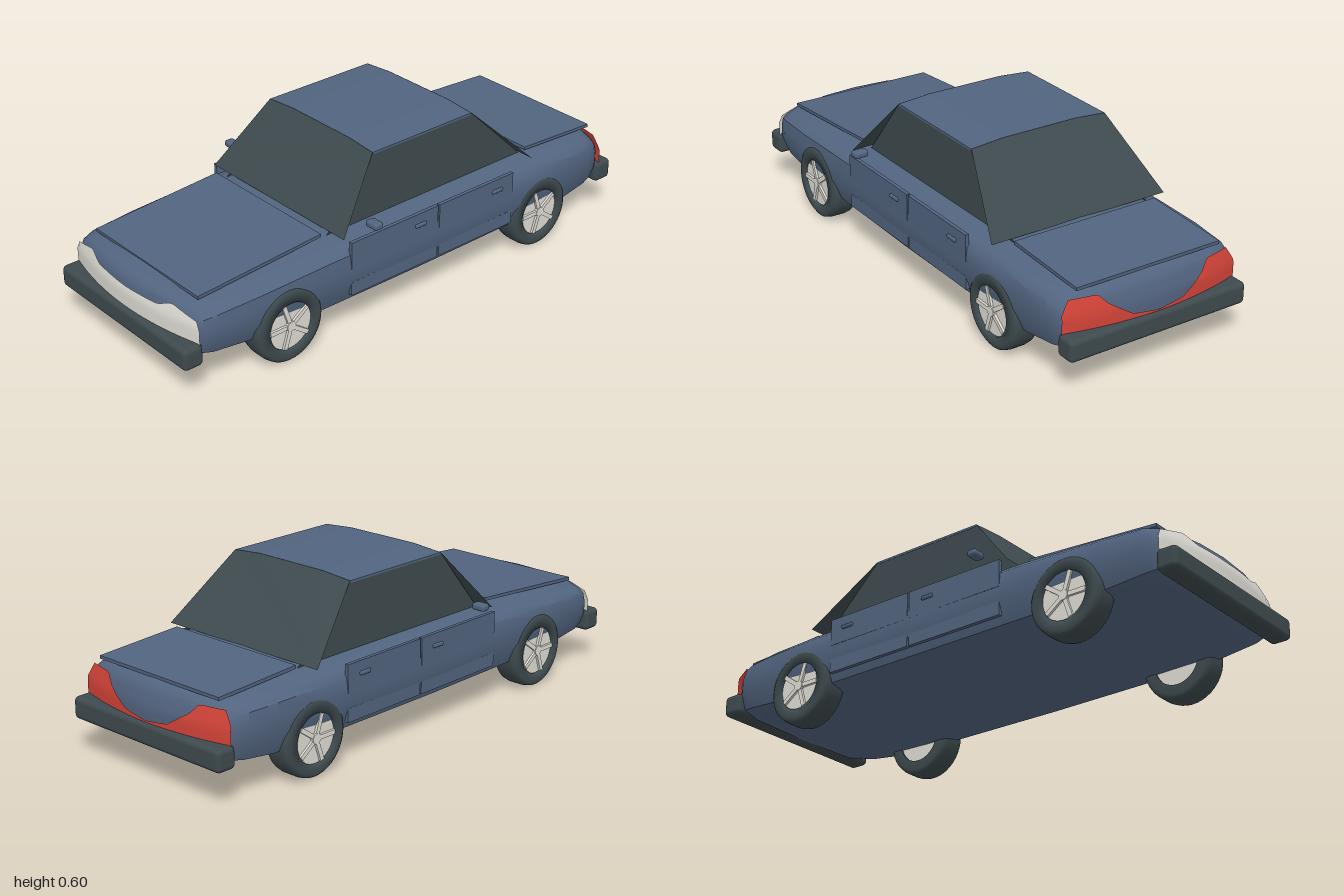
import * as THREE from 'three';
import { toCreasedNormals } from 'three/addons/utils/BufferGeometryUtils.js';
import { RoundedBoxGeometry } from 'three/addons/geometries/RoundedBoxGeometry.js';

const mat = (name, color, side = THREE.FrontSide) => {
  const m = new THREE.MeshStandardMaterial({ color, side });
  m.name = name;
  return m;
};

// Both ends of the body are bowed across and lean back near the top
function bow(x, y, z) {
  const s = THREE.MathUtils.clamp((Math.abs(z) - 0.8) / 0.17, 0, 1);
  return z - Math.sign(z) * s * (0.4 * x * x + 0.3 * Math.max(0, y - 0.26));
}

// Lofted shell: z, half width, bottom, top
function bodyGeometry() {
  const stations = [
    [0.975, 0.33, 0.15, 0.305], [0.96, 0.346, 0.14, 0.318], [0.9, 0.36, 0.13, 0.331],
    [0.7, 0.37, 0.112, 0.344], [0.4, 0.376, 0.107, 0.358], [0, 0.378, 0.105, 0.36],
    [-0.55, 0.376, 0.107, 0.362], [-0.75, 0.371, 0.112, 0.358], [-0.9, 0.36, 0.126, 0.35],
    [-0.96, 0.346, 0.135, 0.34], [-0.98, 0.33, 0.145, 0.322],
  ];
  const half = [[0, 0], [0.72, 0], [0.93, 0.06], [1, 0.35], [1, 0.6],
    [0.985, 0.78], [0.92, 0.87], [0.75, 0.95], [0.4, 0.99], [0, 1]];
  const loop = [...half, ...half.slice(1, -1).reverse().map(([u, v]) => [-u, v])];
  // Shrinking rings close each end
  const shrink = ([z, w, b, t], k) => {
    const c = (b + t) / 2, h = (t - b) / 2;
    return [z, w * k, c - h * k, c + h * k];
  };
  const ks = [0.001, 0.25, 0.5, 0.75];
  const rings = [...ks.map((k) => shrink(stations[0], k)), ...stations,
    ...ks.slice().reverse().map((k) => shrink(stations.at(-1), k))];
  const pos = [], idx = [], n = loop.length;
  rings.forEach(([z, w, b, t], r) => {
    loop.forEach(([u, v], i) => {
      const x = u * w, y = b + v * (t - b);
      pos.push(x, y, bow(x, y, z));
      if (r === 0) return;
      const j = (i + 1) % n, p = (r - 1) * n, q = r * n;
      idx.push(p + i, q + i, p + j, p + j, q + i, q + j);
    });
  });
  const g = new THREE.BufferGeometry();
  g.setAttribute('position', new THREE.Float32BufferAttribute(pos, 3));
  g.setIndex(idx);
  // Loop runs counterclockwise from the front, so faces already point outwards
  return toCreasedNormals(g, 0.7);
}

// Lamp strip hugging the bowed end; outline gives [x, top height]
function lampGeometry(outline, z, bottom) {
  const topAt = (x) => {
    const a = Math.abs(x);
    for (let i = 1; i < outline.length; i++) {
      const [x0, y0] = outline[i - 1], [x1, y1] = outline[i];
      if (a <= x1) return y0 + (y1 - y0) * (a - x0) / (x1 - x0);
    }
    return outline.at(-1)[1];
  };
  const g = new THREE.PlaneGeometry(0.696, 1, 48, 6);
  const p = g.attributes.position;
  for (let i = 0; i < p.count; i++) {
    const x = p.getX(i), y = bottom + (p.getY(i) + 0.5) * (topAt(x) - bottom);
    p.setXYZ(i, x, y, bow(x, y, z) + Math.sign(z) * 0.007);
  }
  g.computeVertexNormals();
  return g;
}

// Flat polygon from a fan of corners
function panelGeometry(c) {
  const pos = [];
  for (let i = 1; i < c.length - 1; i++) pos.push(...c[0], ...c[i], ...c[i + 1]);
  const g = new THREE.BufferGeometry();
  g.setAttribute('position', new THREE.Float32BufferAttribute(pos, 3));
  g.computeVertexNormals();
  return g;
}

export function createModel() {
  const paint = mat('blue paint', 0x52647f);
  const dark = mat('dark glass and rubber', 0x3e4a4e, THREE.DoubleSide);
  const pale = mat('pale lamp and rim', 0xdedcd4, THREE.DoubleSide);
  const red = mat('red lamp', 0xd24338, THREE.DoubleSide);
  const car = new THREE.Group();
  car.name = 'car';
  const add = (name, geo, material, x = 0, y = 0, z = 0, parent = car) => {
    const m = new THREE.Mesh(geo, material);
    m.name = name;
    m.position.set(x, y, z);
    parent.add(m);
    return m;
  };

  add('body', bodyGeometry(), paint);

  // Hood and trunk lid, thin sloping slabs
  const lid = (name, z0, y0, z1, y1) => {
    const m = add(name, new THREE.BoxGeometry(0.575, 0.012, Math.hypot(z1 - z0, y1 - y0)),
      paint, 0, (y0 + y1) / 2, (z0 + z1) / 2);
    m.rotation.x = Math.atan2(y0 - y1, z1 - z0);
  };
  lid('hood', 0.38, 0.365, 0.89, 0.329);
  lid('trunkLid', -0.93, 0.346, -0.59, 0.363);

  // Lamps and bumpers
  add('headlamps', lampGeometry([[0, 0.278], [0.165, 0.282], [0.225, 0.306], [0.335, 0.28], [0.348, 0.25]],
    0.975, 0.195), pale);
  add('tailLamps', lampGeometry([[0, 0.215], [0.1, 0.228], [0.19, 0.285], [0.22, 0.318], [0.32, 0.318], [0.348, 0.27]],
    -0.98, 0.195), red);
  for (const [name, s, y] of [['frontBumper', 1, 0.163], ['rearBumper', -1, 0.17]]) {
    add(name, new RoundedBoxGeometry(0.71, 0.08, 0.078, 3, 0.018), dark, 0, y, s * 0.961);
  }

  // Cabin: roof, flared screens and upright side glass
  const roofLine = [[-0.275, 0.59], [-0.15, 0.6], [0.15, 0.6], [0.275, 0.59]];
  const roofShape = new THREE.Shape([...roofLine, [0.275, 0.582], [-0.275, 0.582]]
    .map(([x, y]) => new THREE.Vector2(x, y)));
  add('roof', new THREE.ExtrudeGeometry(roofShape, { depth: 0.46, bevelEnabled: false }), paint, 0, 0, -0.32);
  const screen = (name, zBase, zTop) => add(name, panelGeometry([
    [-0.355, 0.36, zBase], [0.355, 0.36, zBase],
    ...roofLine.slice().reverse().map(([x, y]) => [x, y, zTop])]), dark);
  screen('windshield', 0.337, 0.141);
  screen('rearWindow', -0.56, -0.321).geometry.scale(1, 1, 1);

  for (const s of [1, -1]) {
    add('sideGlass', panelGeometry([[s * 0.274, 0.345, 0.345], [s * 0.274, 0.59, 0.14],
      [s * 0.274, 0.59, -0.32], [s * 0.274, 0.345, -0.575]]), dark);

    // Doors with lower trim and handles
    for (const [name, z, len, hz] of [['frontDoor', 0.125, 0.395, 0.01], ['rearDoor', -0.26, 0.36, -0.36]]) {
      add(name, new THREE.BoxGeometry(0.014, 0.1, len), paint, s * 0.371, 0.302, z);
      add(name + 'Sill', new THREE.BoxGeometry(0.014, 0.05, len), paint, s * 0.37, 0.173, z);
      add(name + 'Handle', new RoundedBoxGeometry(0.012, 0.014, 0.05, 2, 0.005), paint, s * 0.38, 0.308, hz);
    }
    add('mirror', new RoundedBoxGeometry(0.055, 0.026, 0.038, 2, 0.01), paint, s * 0.387, 0.395, 0.23);
  }

  // Wheels: rounded tyre, pale disc, raised spokes and hub
  const tyreGeo = new THREE.LatheGeometry([[0.088, -0.05], [0.122, -0.051], [0.134, -0.043], [0.138, -0.025],
    [0.138, 0.025], [0.134, 0.043], [0.122, 0.051], [0.088, 0.05], [0.088, -0.05]]
    .map(([x, y]) => new THREE.Vector2(x, y)), 40);
  const discGeo = new THREE.CylinderGeometry(0.09, 0.09, 0.084, 32);
  const spokeGeo = new THREE.BoxGeometry(0.016, 0.01, 0.078);
  const hubGeo = new THREE.CylinderGeometry(0.018, 0.02, 0.016, 16);
  for (const s of [1, -1]) {
    for (const [name, z] of [['frontWheel', 0.585], ['rearWheel', -0.59]]) {
      const wheel = new THREE.Group();
      wheel.name = name;
      wheel.position.set(s * 0.328, 0.138, z);
      wheel.rotation.z = -s * Math.PI / 2;
      car.add(wheel);
      add('tyre', tyreGeo, dark, 0, 0, 0, wheel);
      add('rim', discGeo, pale, 0, 0, 0, wheel);
      add('hub', hubGeo, pale, 0, 0.045, 0, wheel);
      for (let i = 0; i < 5; i++) {
        const a = i * Math.PI * 2 / 5;
        const spoke = add('spoke', spokeGeo, pale, Math.sin(a) * 0.047, 0.046, Math.cos(a) * 0.047, wheel);
        spoke.rotation.y = a;
      }
    }
  }
  return car;
}
